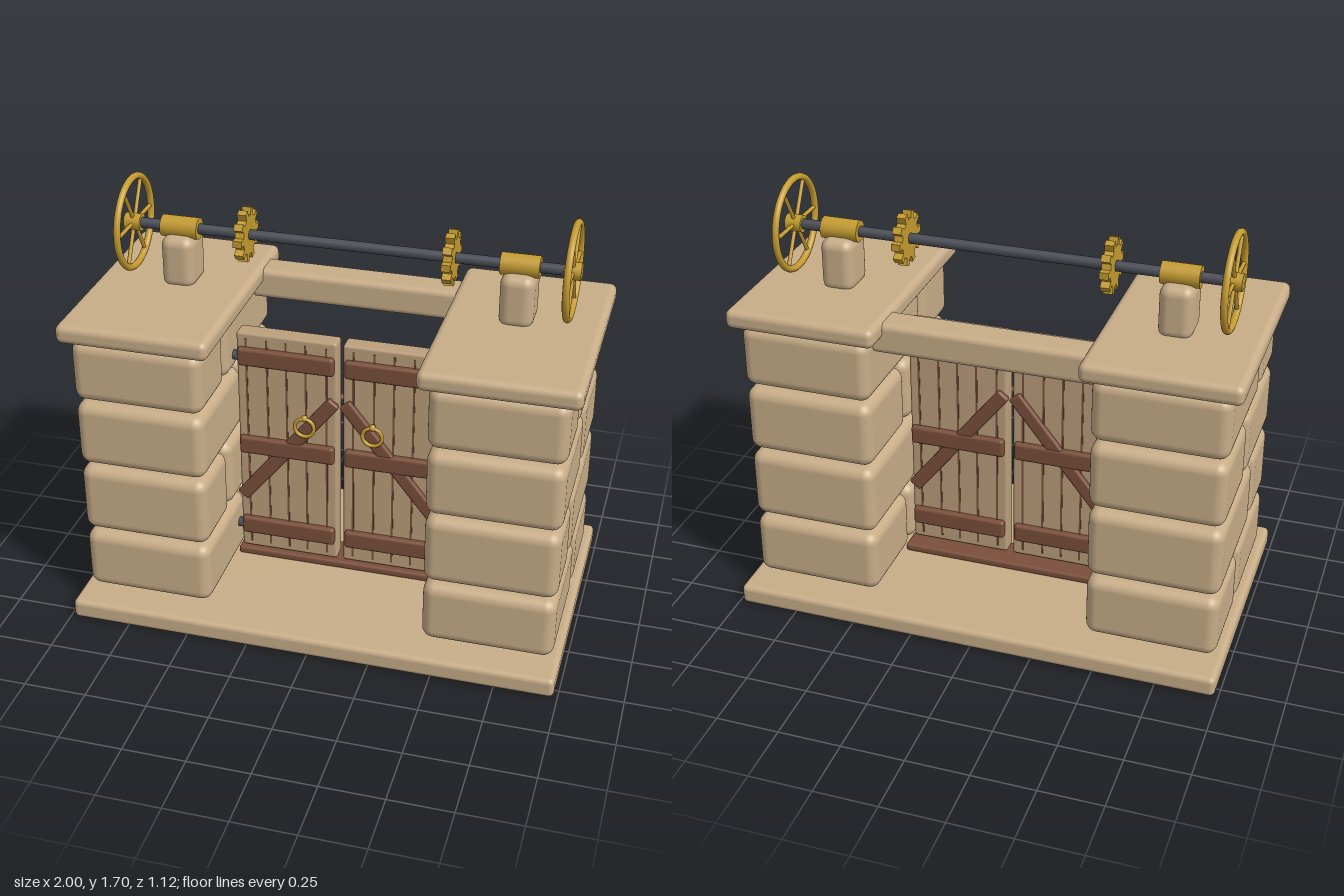
import * as THREE from 'three';
import { RoundedBoxGeometry } from 'three/addons/geometries/RoundedBoxGeometry.js';

const mat = (name, color) => {
  const m = new THREE.MeshStandardMaterial({ color });
  m.name = name;
  return m;
};

export function createModel() {
  const stone = mat('sandstone', 0xc8ad88);
  const plank = mat('pale wood', 0xbc9f7d);
  const timber = mat('dark wood', 0x7a4f3a);
  const brass = mat('brass', 0xc49b30);
  const iron = mat('iron', 0x4a4d56);

  const model = new THREE.Group();
  model.name = 'sluiceGate';

  const add = (parent, name, geometry, material, x = 0, y = 0, z = 0) => {
    const mesh = new THREE.Mesh(geometry, material);
    mesh.name = name;
    mesh.position.set(x, y, z);
    parent.add(mesh);
    return mesh;
  };
  // Rounded block given by its minimum and maximum on each axis
  const block = (parent, name, material, [x0, x1], [y0, y1], [z0, z1], r) =>
    add(parent, name, new RoundedBoxGeometry(x1 - x0, y1 - y0, z1 - z0, 4, r), material,
      (x0 + x1) / 2, (y0 + y1) / 2, (z0 + z1) / 2);
  const span = (s, a, b) => (s > 0 ? [a, b] : [-b, -a]);
  // Cylinder lying along x
  const rod = (parent, name, material, r, length, x, y, z) =>
    add(parent, name, new THREE.CylinderGeometry(r, r, length, 24).rotateZ(Math.PI / 2), material, x, y, z);

  // Foundation, lintel and threshold
  block(model, 'baseSlab', stone, [-0.985, 0.985], [0, 0.083], [-0.56, 0.555], 0.022);
  block(model, 'lintel', stone, [-0.45, 0.45], [1.15, 1.275], [-0.37, -0.235], 0.025);
  block(model, 'threshold', timber, [-0.44, 0.44], [0.08, 0.114], [-0.105, 0.05], 0.012);

  // Pillars: four courses of two blocks with alternating joints
  const courses = [[0.09, 0.35], [0.365, 0.655], [0.67, 0.943], [0.957, 1.212]];
  for (const s of [1, -1]) {
    const pillar = new THREE.Group();
    pillar.name = s > 0 ? 'leftPillar' : 'rightPillar';
    model.add(pillar);
    courses.forEach((y, i) => {
      const [back, front] = i % 2 ? [0.135, 0.152] : [-0.06, -0.045];
      block(pillar, 'frontBlock', stone, span(s, 0.435, 0.957), y, [front, 0.44], 0.045);
      block(pillar, 'backBlock', stone, span(s, 0.435, 0.957), y, [-0.44, back], 0.045);
    });
    block(pillar, 'capSlab', stone, span(s, 0.395, 1), [1.212, 1.29], [-0.473, 0.467], 0.028);
    block(pillar, 'bearingPost', stone, span(s, 0.605, 0.737), [1.27, 1.485], [-0.158, 0.013], 0.04);
  }

  // Door leaves, dressed on both faces
  for (const s of [1, -1]) {
    const leaf = new THREE.Group();
    leaf.name = s > 0 ? 'leftDoor' : 'rightDoor';
    model.add(leaf);
    block(leaf, 'leafPanel', plank, span(s, 0.012, 0.425), [0.12, 1.13], [-0.037, 0.037], 0.012);
    for (const f of [1, -1]) {
      for (const x of [0.055, 0.14, 0.22, 0.3, 0.385])
        add(leaf, 'plankSeam', new THREE.BoxGeometry(0.008, 0.96, 0.004), timber, s * x, 0.625, f * 0.038);
      for (const y of [0.235, 0.625, 1.03])
        block(leaf, 'crossBand', timber, span(s, 0.022, 0.418), [y - 0.039, y + 0.039], span(f, 0.025, 0.061), 0.013);
      const brace = add(leaf, 'diagonalBrace', new RoundedBoxGeometry(0.63, 0.056, 0.03, 3, 0.01),
        timber, s * 0.217, 0.625, f * 0.042);
      brace.rotation.z = -s * 0.9;
    }
    // Pull ring on the front
    add(leaf, 'pullRing', new THREE.TorusGeometry(0.04, 0.008, 10, 28), brass, s * 0.14, 0.75, 0.064);
    add(leaf, 'ringStud', new THREE.SphereGeometry(0.014, 14, 10), brass, s * 0.14, 0.79, 0.06);
    // Hinge pins
    for (const y of [0.235, 1.03]) rod(leaf, 'hingePin', iron, 0.02, 0.05, s * 0.425, y, 0.04);
  }

  // Winding shaft
  const Y = 1.505, Z = -0.07;
  const winch = new THREE.Group();
  winch.name = 'winch';
  winch.position.set(0, Y, Z);
  model.add(winch);
  rod(winch, 'shaft', iron, 0.021, 1.76, 0, 0, 0);

  // Toothed gear outline
  const teeth = 10, outline = [];
  for (let i = 0; i < teeth; i++) {
    const a = (i / teeth) * Math.PI * 2;
    for (const [r, d] of [[0.08, -0.17], [0.108, -0.13], [0.108, 0.13], [0.08, 0.17]])
      outline.push(new THREE.Vector2(r * Math.cos(a + d), r * Math.sin(a + d)));
  }
  const gear = new THREE.ExtrudeGeometry(new THREE.Shape(outline), { depth: 0.036, bevelEnabled: false });
  gear.translate(0, 0, -0.018).rotateY(Math.PI / 2);

  for (const s of [1, -1]) {
    rod(winch, 'bearing', brass, 0.043, 0.15, s * 0.672, 0, 0);
    add(winch, 'gear', gear, brass, s * 0.407, 0, 0);

    // Six-spoked handwheel
    const wheel = new THREE.Group();
    wheel.name = s > 0 ? 'leftHandwheel' : 'rightHandwheel';
    wheel.position.x = s * 0.868;
    winch.add(wheel);
    add(wheel, 'rim', new THREE.TorusGeometry(0.181, 0.014, 12, 56).rotateY(Math.PI / 2), brass);
    rod(wheel, 'hub', brass, 0.034, 0.066, 0, 0, 0);
    for (let i = 0; i < 3; i++) {
      const spoke = add(wheel, 'spokePair', new THREE.CylinderGeometry(0.008, 0.008, 0.36, 10), brass);
      spoke.rotation.x = Math.PI / 2 + (i * Math.PI) / 3;
    }
  }
  return model;
}
